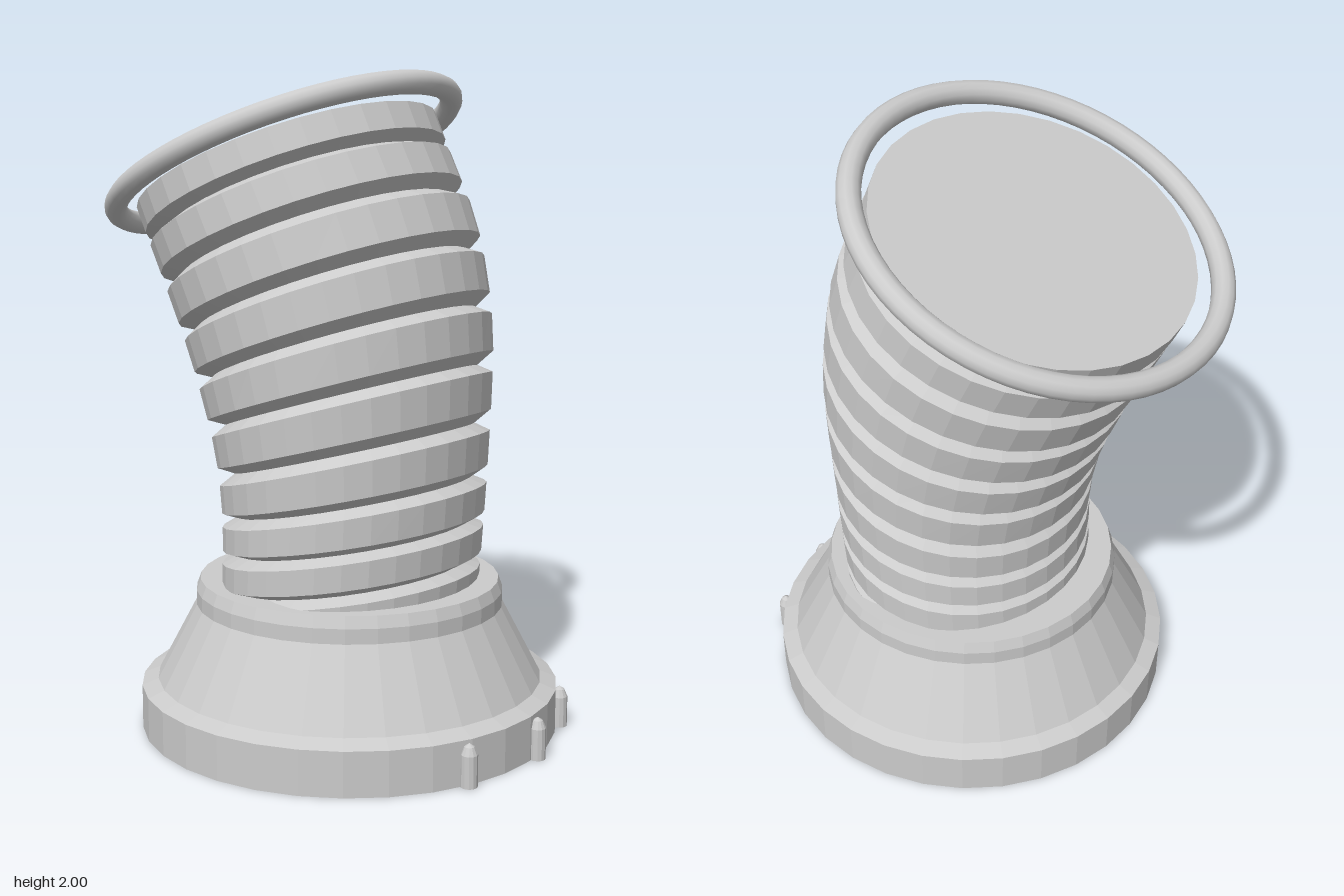
import * as THREE from 'three';

const SIDES = 32;
const faceted = () => new THREE.MeshStandardMaterial({ color: 0xcccccc, flatShading: true });
const smooth = () => new THREE.MeshStandardMaterial({ color: 0xcccccc });

function addMesh(group, name, geometry, material, x = 0, y = 0, z = 0) {
  const mesh = new THREE.Mesh(geometry, material);
  mesh.name = name;
  mesh.position.set(x, y, z);
  group.add(mesh);
  return mesh;
}

const lathe = (points, sides) =>
  new THREE.LatheGeometry(points.map(([r, y]) => new THREE.Vector2(r, y)), sides);

// Hose spine, one row per rib: centre x, centre y, tilt, half width in x, half width in z
const RIBS = [
  [0.065, 0.41, 0.14, 0.385, 0.435],
  [0.07, 0.53, 0.16, 0.39, 0.44],
  [0.077, 0.65, 0.18, 0.394, 0.44],
  [0.08, 0.785, 0.235, 0.404, 0.445],
  [0.075, 0.95, 0.275, 0.42, 0.46],
  [0.055, 1.11, 0.31, 0.447, 0.475],
  [0.018, 1.27, 0.345, 0.465, 0.485],
  [-0.035, 1.425, 0.37, 0.478, 0.495],
  [-0.108, 1.58, 0.39, 0.473, 0.5],
  [-0.162, 1.69, 0.395, 0.474, 0.5],
  [-0.2, 1.78, 0.395, 0.474, 0.5],
];

function spineAt(t) {
  const i = Math.min(Math.floor(t), RIBS.length - 2);
  return RIBS[i].map((v, k) => THREE.MathUtils.lerp(v, RIBS[i + 1][k], t - i));
}

// Ribbed hose: outer bands separated by V grooves, lofted along the tilted spine
function hoseGeometry() {
  const sections = [[0, 0]];
  for (let i = 0; i < 9; i++) {
    sections.push([i + 0.32, 0], [i + 0.5, 0.05], [i + 0.68, 0]);
  }
  sections.push([9.45, 0]);

  const positions = [], index = [];
  for (const [t, inset] of sections) {
    const [cx, cy, tilt, rx, rz] = spineAt(t);
    for (let j = 0; j < SIDES; j++) {
      const a = (j / SIDES) * Math.PI * 2;
      const u = (rx - inset) * Math.cos(a);
      positions.push(cx + u * Math.cos(tilt), cy + u * Math.sin(tilt), (rz - inset) * Math.sin(a));
    }
  }
  for (let i = 0; i < sections.length - 1; i++) {
    for (let j = 0; j < SIDES; j++) {
      const k = (j + 1) % SIDES;
      const a = i * SIDES + j, b = i * SIDES + k;
      index.push(a, a + SIDES, b, b, a + SIDES, b + SIDES);
    }
  }
  // flat end cap
  const last = (sections.length - 1) * SIDES;
  const [cx, cy] = spineAt(9.45);
  const centre = positions.length / 3;
  positions.push(cx, cy, 0);
  for (let j = 0; j < SIDES; j++) index.push(centre, last + ((j + 1) % SIDES), last + j);

  const geometry = new THREE.BufferGeometry();
  geometry.setAttribute('position', new THREE.Float32BufferAttribute(positions, 3));
  geometry.setIndex(index);
  geometry.computeVertexNormals();
  return geometry;
}

export function createModel() {
  const model = new THREE.Group();
  model.name = 'bentHoseOnBase';

  // Flared base with a flat foot band and a chamfered neck
  addMesh(model, 'base', lathe([
    [0, 0], [0.65, 0], [0.65, 0.135], [0.6, 0.155],
    [0.478, 0.385], [0.478, 0.43], [0.465, 0.465], [0, 0.465],
  ], SIDES), faceted(), 0.055);

  addMesh(model, 'hose', hoseGeometry(), faceted());

  // Loose ring around the hose mouth
  const rim = addMesh(model, 'rimRing', new THREE.TorusGeometry(0.545, 0.035, 12, 64),
    smooth(), -0.2, 1.75, -0.01);
  rim.rotation.set(Math.PI / 2, -0.405, 0, 'ZXY');
  rim.rotation.set(Math.PI / 2, 0, 0.405, 'ZYX');

  // Three small pointed pegs on the foot
  const pegShape = lathe([[0, 0], [0.025, 0], [0.025, 0.095], [0.015, 0.118], [0, 0.128]], 12);
  for (const [x, z] of [[0.637, -0.31], [0.712, -0.03], [0.655, 0.265]]) {
    addMesh(model, 'peg', pegShape, faceted(), x, 0, z);
  }
  return model;
}
